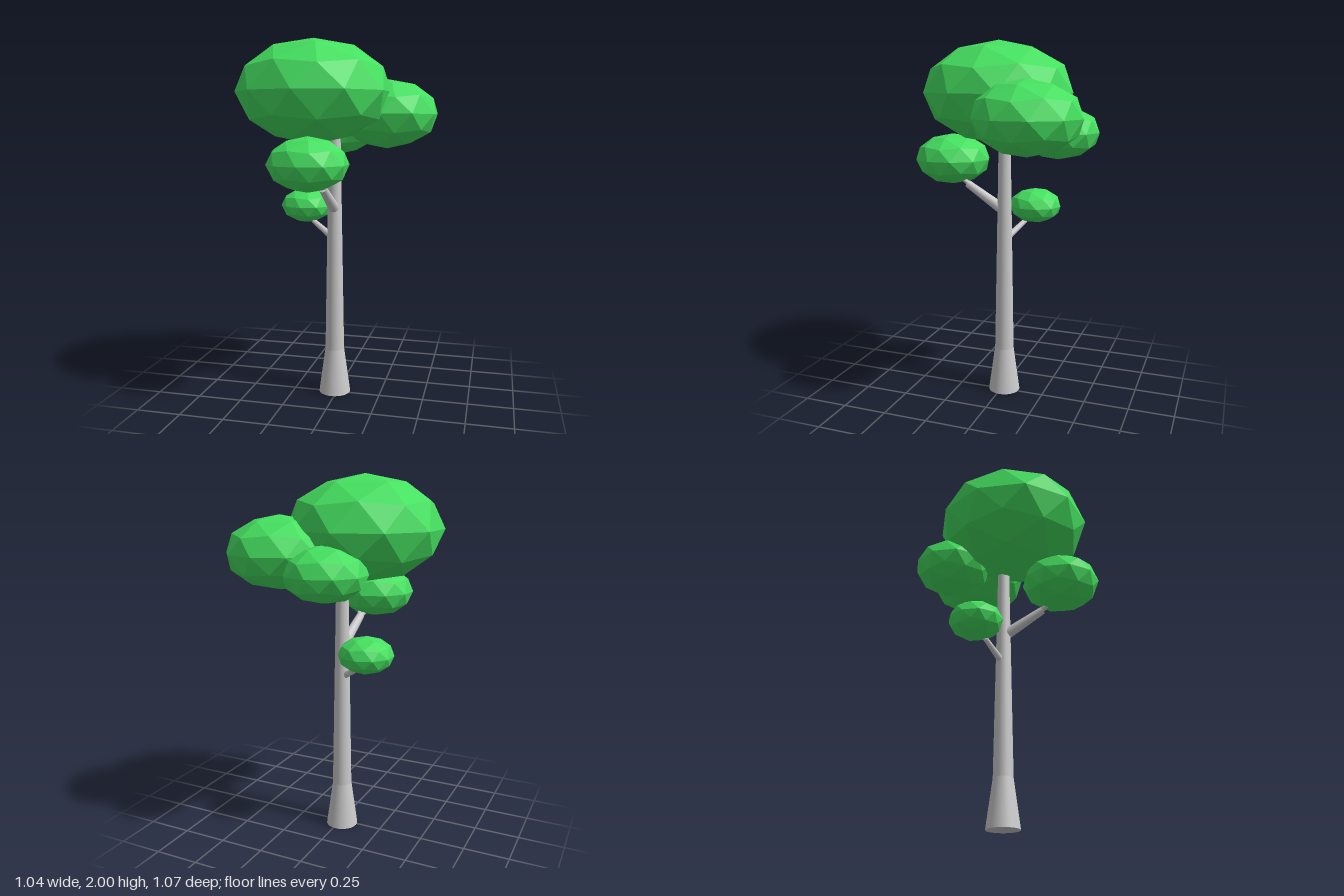
import * as THREE from 'three';

const wood = new THREE.MeshStandardMaterial({ color: 0xcccccc });
const leaf = new THREE.MeshStandardMaterial({ color: 0x45e060, flatShading: true });
const UP = new THREE.Vector3(0, 1, 0);

// Tapered round limb between two points
function limb(name, from, to, r0, r1, sides = 12) {
  const a = new THREE.Vector3(...from);
  const b = new THREE.Vector3(...to);
  const dir = b.clone().sub(a);
  const mesh = new THREE.Mesh(new THREE.CylinderGeometry(r1, r0, dir.length(), sides), wood);
  mesh.position.copy(a).add(b).multiplyScalar(0.5);
  mesh.quaternion.setFromUnitVectors(UP, dir.normalize());
  mesh.name = name;
  return mesh;
}

export function createModel() {
  const tree = new THREE.Group();
  tree.name = 'tree';

  // Trunk: flared foot and long slender shaft
  const tx = -0.015, tz = -0.015;
  tree.add(
    limb('trunkFoot', [tx, 0, tz], [tx, 0.26, tz], 0.09, 0.054, 24),
    limb('trunkShaft', [tx, 0.26, tz], [tx, 1.47, tz], 0.054, 0.033, 24),
  );

  // Branches, each ending in two thin twigs
  tree.add(
    limb('frontBranch', [tx, 1.07, tz], [-0.025, 1.21, 0.21], 0.032, 0.022),
    limb('frontTwig', [-0.025, 1.2, 0.19], [-0.06, 1.26, 0.29], 0.015, 0.009, 8),
    limb('frontTwig', [-0.025, 1.2, 0.19], [0, 1.27, 0.27], 0.015, 0.009, 8),
    limb('sideBranch', [tx, 0.9, tz], [-0.16, 0.99, -0.09], 0.02, 0.014),
    limb('sideTwig', [-0.155, 0.985, -0.088], [-0.22, 1.03, -0.12], 0.01, 0.007, 8),
    limb('sideTwig', [-0.155, 0.985, -0.088], [-0.17, 1.05, -0.12], 0.01, 0.007, 8),
  );

  // Foliage: faceted balls with a corner on top, flattened to two thirds
  const ball = new THREE.IcosahedronGeometry(1, 1);
  ball.rotateZ(-Math.atan(2 / (1 + Math.sqrt(5))));
  const clumps = [
    ['crownFoliage', -0.115, 1.718, 0.055, 0.425, 0.283],
    ['leftFoliage', 0.245, 1.6, -0.225, 0.29, 0.195],
    ['backFoliage', -0.06, 1.512, -0.31, 0.22, 0.147],
    ['frontFoliage', -0.075, 1.343, 0.32, 0.215, 0.144],
    ['rightFoliage', -0.21, 1.075, -0.135, 0.15, 0.1],
  ];
  for (const [name, x, y, z, r, h] of clumps) {
    const clump = new THREE.Mesh(ball, leaf);
    clump.position.set(x, y, z);
    clump.scale.set(r, h, r);
    clump.name = name;
    tree.add(clump);
  }
  return tree;
}
